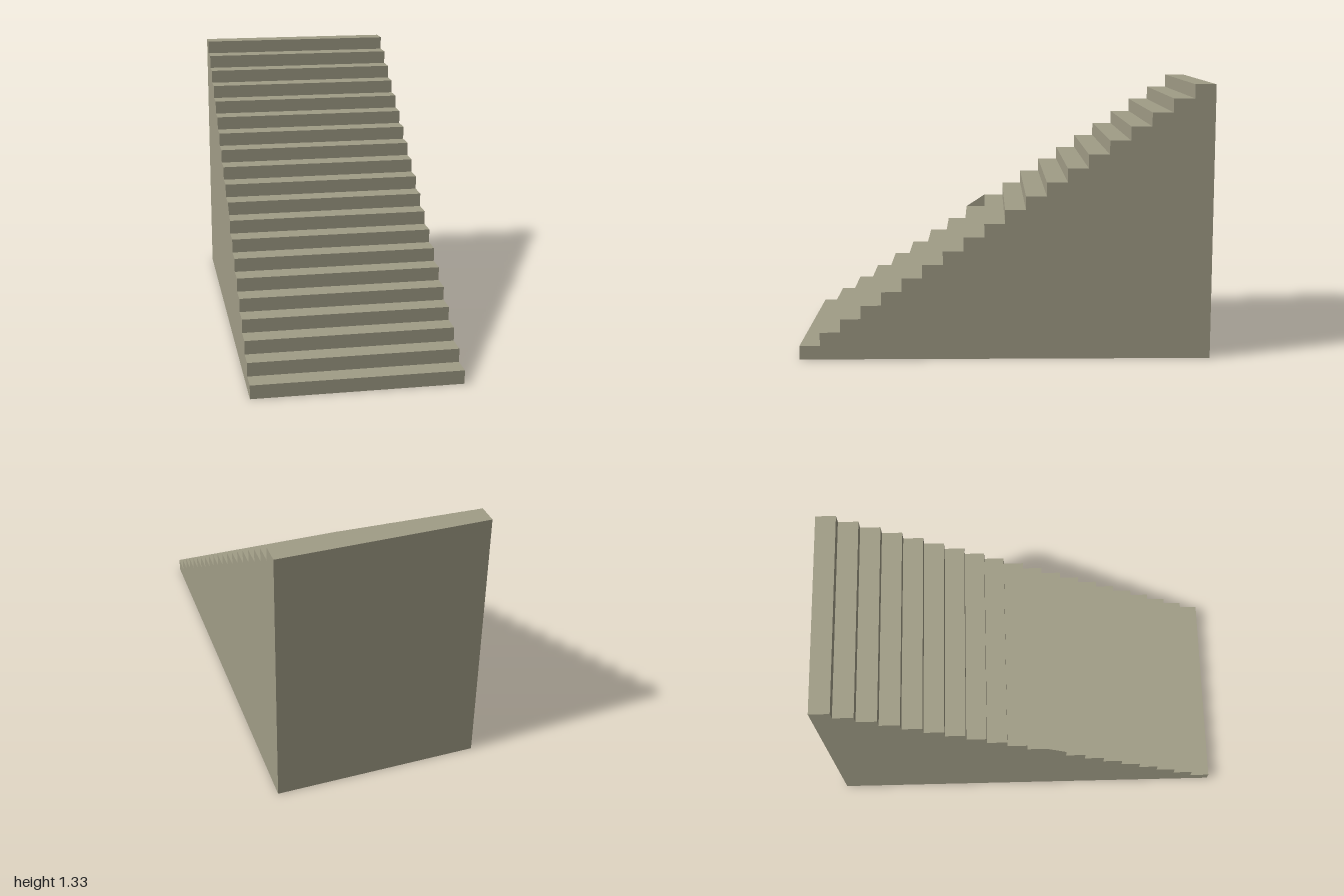
import * as THREE from 'three';

const STEPS = 20, RUN = 0.1, RISE = 1 / 15, WIDTH = 1;

// Extrude a side profile (u runs from front to back, v is up) across the width
function placeProfile(geometry, x) {
  return geometry.rotateY(Math.PI / 2).translate(x, 0, 0);
}

export function createModel() {
  const group = new THREE.Group();
  group.name = 'staircase';
  const material = new THREE.MeshStandardMaterial({ color: 0xa09c86, flatShading: true });

  // Solid flight: sawtooth profile with a flat underside and back
  const profile = new THREE.Shape();
  profile.moveTo(-1, 0);
  for (let i = 0; i < STEPS; i++) {
    profile.lineTo(-1 + i * RUN, (i + 1) * RISE);
    profile.lineTo(-1 + (i + 1) * RUN, (i + 1) * RISE);
  }
  profile.lineTo(1, 0);
  profile.closePath();
  const flight = new THREE.Mesh(
    placeProfile(new THREE.ExtrudeGeometry(profile, { depth: WIDTH, bevelEnabled: false }), -WIDTH / 2),
    material
  );
  flight.name = 'stairFlight';
  group.add(flight);

  // Thin triangular gusset on the ninth tread, flush with the -x side
  const u = -1 + 8 * RUN, v = 9 * RISE;
  const triangle = new THREE.Shape([
    new THREE.Vector2(u, v),
    new THREE.Vector2(u + RUN, v),
    new THREE.Vector2(u + RUN, v + RISE),
  ]);
  const sheet = material.clone();
  sheet.side = THREE.DoubleSide;
  const gusset = new THREE.Mesh(placeProfile(new THREE.ShapeGeometry(triangle), -WIDTH / 2), sheet);
  gusset.name = 'sideGusset';
  group.add(gusset);

  return group;
}
